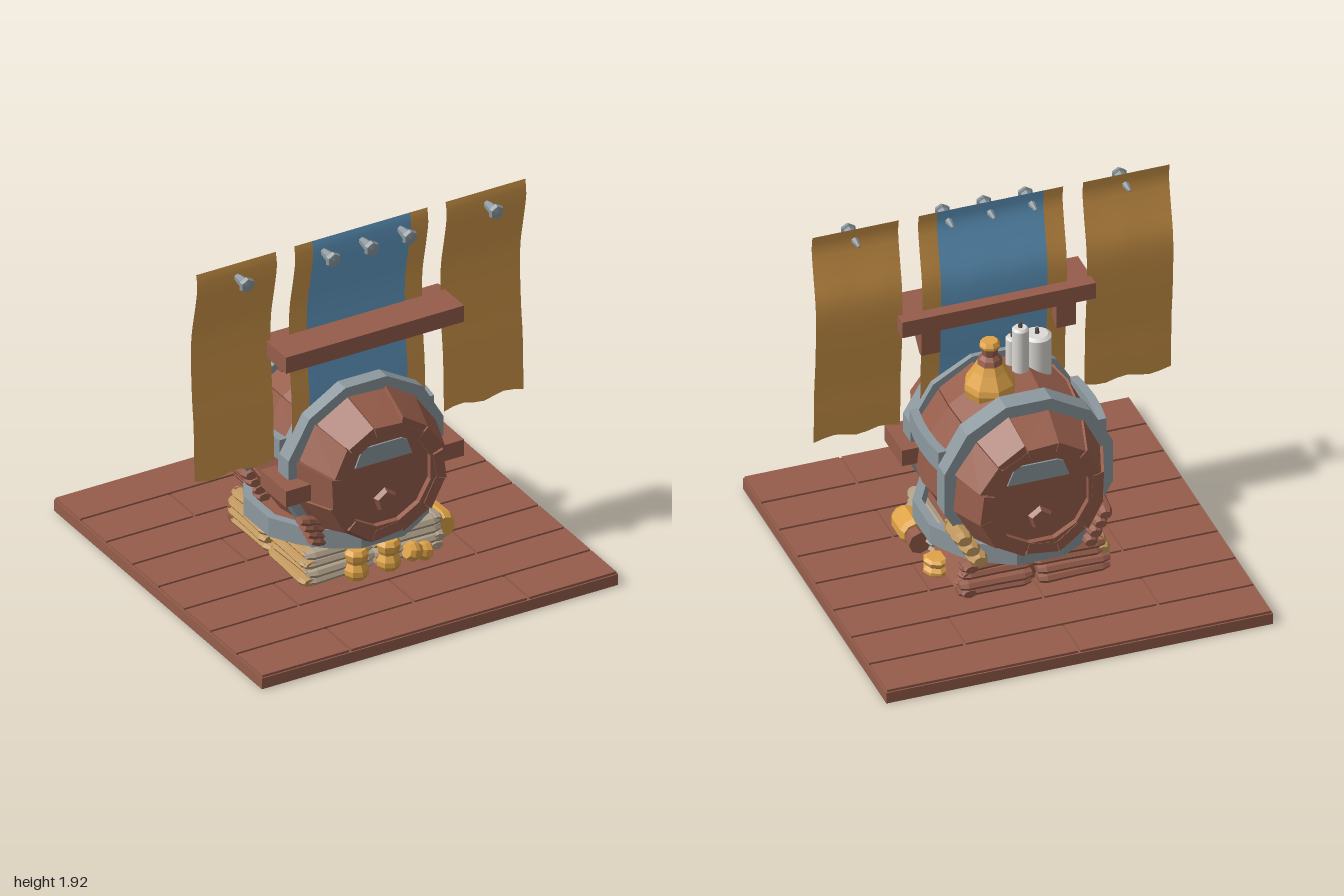
import * as THREE from 'three';

const mat = (name, color, extra = {}) => {
  const m = new THREE.MeshStandardMaterial({ color, flatShading: true, ...extra });
  m.name = name;
  return m;
};

export function createModel() {
  const wood = mat('brown wood', 0x965d4b);
  const metal = mat('grey metal', 0x8d999f);
  const cloth = mat('ochre cloth', 0xd2984a, { side: THREE.DoubleSide, flatShading: false });
  const blue = mat('blue cloth', 0x65a0ca, { side: THREE.DoubleSide, flatShading: false });
  const clay = mat('orange clay', 0xe0a448);
  const grey = mat('beige sack', 0xb0a089);
  const tan = mat('tan sack', 0xc0965c);
  const wax = mat('white wax', 0xdedbd6, { flatShading: false });
  const wick = mat('dark wick', 0x55504c);

  const root = new THREE.Group();
  const add = (name, geo, m, x = 0, y = 0, z = 0, parent = root) => {
    const mesh = new THREE.Mesh(geo, m);
    mesh.name = name;
    mesh.position.set(x, y, z);
    parent.add(mesh);
    return mesh;
  };
  const box = (name, m, w, h, d, x, y, z) => add(name, new THREE.BoxGeometry(w, h, d), m, x, y, z);
  const lathe = (pts, n) => new THREE.LatheGeometry(pts.map(p => new THREE.Vector2(p[0], p[1])), n);
  const shape = pts => new THREE.Shape(pts.map(p => new THREE.Vector2(p[0], p[1])));
  let seed = 7;
  const rnd = () => (seed = (seed * 16807) % 2147483647) / 2147483647;

  // floor: slab with staggered planks
  box('floorBase', wood, 2, 0.06, 2, 0, 0.032, 0);
  for (let r = 0; r < 8; r++) {
    const cuts = r % 2 ? [-1, -0.5, 0.5, 1] : [-1, 0, 1];
    for (let i = 0; i < cuts.length - 1; i++) {
      const w = cuts[i + 1] - cuts[i];
      box('floorPlank', wood, w - 0.014, 0.02, 0.236, (cuts[i] + cuts[i + 1]) / 2, 0.065, -0.875 + r * 0.25);
    }
  }

  // barrel: twelve bent staves around the z axis, over a closed core
  const barrel = new THREE.Group();
  barrel.name = 'barrel';
  barrel.position.set(0, 0.64, 0.012);
  root.add(barrel);
  const N = 12, step = Math.PI * 2 / N, c12 = 1 / Math.cos(step / 2);
  const radius = z => 0.425 - 0.46 * z * z;
  for (let i = 0; i < N; i++) {
    const g = new THREE.BoxGeometry(1, 1, 1, 1, 1, 4), p = g.attributes.position;
    const lift = (rnd() - 0.5) * 0.02, len = 0.96 + rnd() * 0.04, skew = (rnd() - 0.5) * 0.05;
    for (let k = 0; k < p.count; k++) {
      const z = p.getZ(k) * len, u = p.getX(k);
      const a = Math.PI / 2 + i * step - u * step * 0.97;
      const r = (radius(z) + lift + u * skew + (p.getY(k) - 0.5) * 0.055) * c12;
      p.setXYZ(k, Math.cos(a) * r, Math.sin(a) * r, z);
    }
    g.computeVertexNormals();
    add('stave', g, wood, 0, 0, 0, barrel);
  }
  const coreEnds = [-0.455, -0.24, 0, 0.24, 0.455].map(z => [(radius(z) - 0.03) * c12, z]);
  add('barrelCore', lathe([[0, -0.455], ...coreEnds, [0, 0.455]], N).rotateY(step / 2).rotateX(Math.PI / 2), wood, 0, 0, 0, barrel);

  // flat sided ring around the y axis
  const ring = (r0, r1, h, n) => {
    const g = lathe([[r0, -h / 2], [r1, -h / 2], [r1, h / 2], [r0, h / 2], [r0, -h / 2]], n);
    return g.rotateY(Math.PI / n);
  };
  for (const s of [-1, 1]) {
    // hoop, lid rim, plate and bung
    add('hoop', ring(0.37 * c12, 0.435 * c12, 0.105, N).rotateX(Math.PI / 2), metal, 0, 0, s * 0.238 - 0.012, barrel);
    add('lidRim', ring(0.25, 0.295, 0.05, N).rotateX(Math.PI / 2), wood, 0, -0.01, s * 0.46, barrel);
    const plate = shape([[-0.17, 0.09], [0.15, 0.09], [0.12, 0.175], [0.09, 0.19], [-0.1, 0.19], [-0.135, 0.175]]);
    const plateMesh = add('lidPlate', new THREE.ExtrudeGeometry(plate, { depth: 0.009, bevelEnabled: false }), metal, 0, 0, s * 0.456, barrel);
    if (s < 0) plateMesh.rotation.y = Math.PI;
    add('bung', new THREE.CylinderGeometry(0.05, 0.068, 0.03, 5).rotateY((s + 1) * Math.PI / 2).rotateX(s * Math.PI / 2),
      wood, 0, -0.13, s * 0.465, barrel);

    // side strap bent along the staves, and carrying block
    const strap = new THREE.BoxGeometry(0.045, 0.11, 0.4, 1, 1, 4), sp = strap.attributes.position;
    for (let k = 0; k < sp.count; k++) sp.setX(k, sp.getX(k) - s * 0.46 * sp.getZ(k) ** 2);
    strap.computeVertexNormals();
    add('sideStrap', strap, metal, s * 0.43, 0.775, 0);
    box('sideHandle', wood, 0.14, 0.09, 0.245, s * 0.43, 0.605, 0.253);

    // shelf bracket
    const tri = shape([[-0.13, 1.31], [-0.28, 1.31], [-0.155, 1.18], [-0.13, 1.18]]);
    const bracket = add('shelfBracket', new THREE.ExtrudeGeometry(tri, { depth: 0.1, bevelEnabled: false }), wood, s * 0.35 - 0.05);
    bracket.rotation.y = Math.PI / 2;
  }
  box('shelf', wood, 1, 0.09, 0.25, 0, 1.355, 0.25);

  // cradle under the barrel
  add('cradleRing', ring(0.42, 0.465, 0.105, N), metal, 0, 0.31, 0);
  box('cradleCore', wood, 0.64, 0.2, 0.64, 0, 0.17, 0);

  // banners: wavy sheets, the middle one with a blue centre stripe
  const waves = [[0.745, 0.225], [0.88, 0.22], [1.05, 0.215], [1.2, 0.2], [1.4, 0.19], [1.55, 0.195], [1.7, 0.225], [1.84, 0.25], [1.92, 0.24]];
  const curve = new THREE.SplineCurve(waves.map(p => new THREE.Vector2(p[0], p[1])));
  const banner = (name, m, x0, x1) => {
    const g = new THREE.PlaneGeometry(x1 - x0, 1, 8, 24), p = g.attributes.position;
    for (let k = 0; k < p.count; k++) {
      const x = p.getX(k) + (x0 + x1) / 2, t = p.getY(k) + 0.5, q = curve.getPoint(t);
      p.setXYZ(k, x, q.x + (1 - t) * 0.012 * Math.sin(x * 25), q.y);
    }
    g.computeVertexNormals();
    add(name, g, m);
  };
  banner('leftBanner', cloth, 0.475, 0.922);
  banner('rightBanner', cloth, -0.925, -0.478);
  banner('middleBannerEdge', cloth, -0.375, -0.275);
  banner('middleBannerEdge', cloth, 0.275, 0.372);
  banner('middleBannerStripe', blue, -0.275, 0.275);
  for (const x of [-0.7, -0.215, 0, 0.215, 0.7]) {
    add('nail', lathe([[0, -0.085], [0.008, -0.08], [0.022, 0], [0.03, 0.06], [0.042, 0.065], [0.036, 0.085], [0, 0.09]], 6)
      .rotateX(Math.PI / 2), metal, x, 1.85, 0.27);
  }

  // jug with dark neck
  add('jugBody', lathe([[0, 1], [0.12, 1.0], [0.132, 1.045], [0.125, 1.075], [0.085, 1.14], [0.052, 1.205], [0, 1.205]], 8), clay, 0.105, 0, -0.03);
  add('jugNeck', lathe([[0.065, 1.18], [0.055, 1.205], [0.038, 1.225], [0.045, 1.265], [0, 1.265]], 8), wood, 0.105, 0, -0.03);
  add('jugLip', lathe([[0, 1.255], [0.04, 1.255], [0.053, 1.275], [0.053, 1.285], [0.04, 1.305], [0, 1.305]], 8), clay, 0.105, 0, -0.03);

  // candles
  for (const [x, z, r, top] of [[-0.18, 0.08, 0.072, 1.2], [-0.075, 0.03, 0.042, 1.29], [-0.065, 0.11, 0.036, 1.19]]) {
    add('candle', new THREE.CylinderGeometry(r, r, top - 0.98, 18), wax, x, (top + 0.98) / 2, z);
    add('candleTop', new THREE.CylinderGeometry(r * 0.75, r, 0.012, 18), wax, x, top + 0.006, z);
    add('wick', new THREE.CylinderGeometry(0.009, 0.012, 0.03, 6), wick, x, top + 0.025, z);
  }

  // sacks: flattened rolls with tapered ends, stacked in a square
  const sack = (m, len, r, x, y, z, turn, flat, tilt = 0) => {
    const h = len / 2;
    const g = lathe([[0, -h], [r * 0.7, -h], [r, -h + 0.04], [r * 0.95, 0], [r, h - 0.04], [r * 0.7, h], [0, h]], 8);
    g.rotateZ(Math.PI / 2).scale(1, flat, 1);
    add('sack', g, m, x, y, z).rotation.set(0, turn, tilt);
  };
  const sides = [[0, grey, grey], [Math.PI / 2, grey, wood], [Math.PI, wood, wood], [-Math.PI / 2, tan, tan]];
  for (const [a, ...pair] of sides) {
    pair.forEach((m, i) => {
      const place = (u, d) => [u * Math.cos(a) + d * Math.sin(a), d * Math.cos(a) - u * Math.sin(a)];
      for (let l = 0; l < 4; l++) {
        const [x, z] = place((i ? 0.19 : -0.19) + (rnd() - 0.5) * 0.03, 0.345 + (rnd() - 0.5) * 0.03);
        sack(m, 0.37, 0.048, x, 0.1 + l * 0.046, z, a + (rnd() - 0.5) * 0.08, 0.6);
      }
      // footing strip under each stack
      const [x, z] = place(i ? 0.19 : -0.19, 0.345);
      box('footing', m, 0.34, 0.004, 0.07, x, 0.002, z).rotation.y = a;
    });
  }
  for (const [x, z] of [[0.43, 0.15], [0.41, -0.11]]) add('potFooting', new THREE.CylinderGeometry(0.05, 0.05, 0.004, 8), clay, x, 0.002, z);

  // rolls tucked against the barrel
  for (let i = 0; i < 3; i++) sack(tan, 0.28 - i * 0.05, 0.05, 0.3 + i * 0.035, 0.3 + i * 0.06, -0.29 - i * 0.012, Math.PI / 2, 0.75, 0.04);
  add('rollBand', new THREE.CylinderGeometry(0.014, 0.014, 0.16, 6), tan, 0.385, 0.345, -0.195);
  for (let i = 0; i < 4; i++) {
    sack(wood, 0.25, 0.042, -0.29 - i * 0.025, 0.28 + i * 0.048, -0.29, Math.PI / 2 - 0.1, 0.75, -0.05);
    sack(wood, 0.16, 0.038, -0.275 - i * 0.02, 0.29 + i * 0.042, 0.33, 0.2, 0.7, -0.35);
  }

  // small pots around the base
  const pot = (name, w, h, x, y, z, rx = 0, rz = 0) => {
    const g = lathe([[0, 0], [0.045, 0], [0.06, 0.025], [0.06, 0.05], [0.045, 0.08], [0.055, 0.1], [0.06, 0.13], [0.045, 0.15], [0, 0.15]], 8);
    const p = add(name, g, clay, x, y, z);
    p.scale.set(w, h, w);
    p.rotation.set(rx, 0, rz);
  };
  pot('frontPot', 1.05, 1.08, -0.12, 0.075, 0.4);
  pot('frontPot', 1.05, 1.08, 0.06, 0.075, 0.4);
  pot('sidePot', 1.15, 0.62, 0.41, 0.075, -0.11);
  pot('tippedPot', 0.85, 0.95, 0.15, 0.15, 0.42, 0.3, -1.9);
  add('lyingJar', lathe([[0, -0.1], [0.06, -0.1], [0.073, -0.07], [0.073, 0.05], [0.055, 0.085], [0, 0.085]], 10).rotateX(Math.PI / 2), clay, 0.43, 0.148, 0.23);
  add('lyingJarStopper', new THREE.CylinderGeometry(0.055, 0.06, 0.08, 8).rotateX(Math.PI / 2), wood, 0.43, 0.14, 0.1);
  return root;
}
